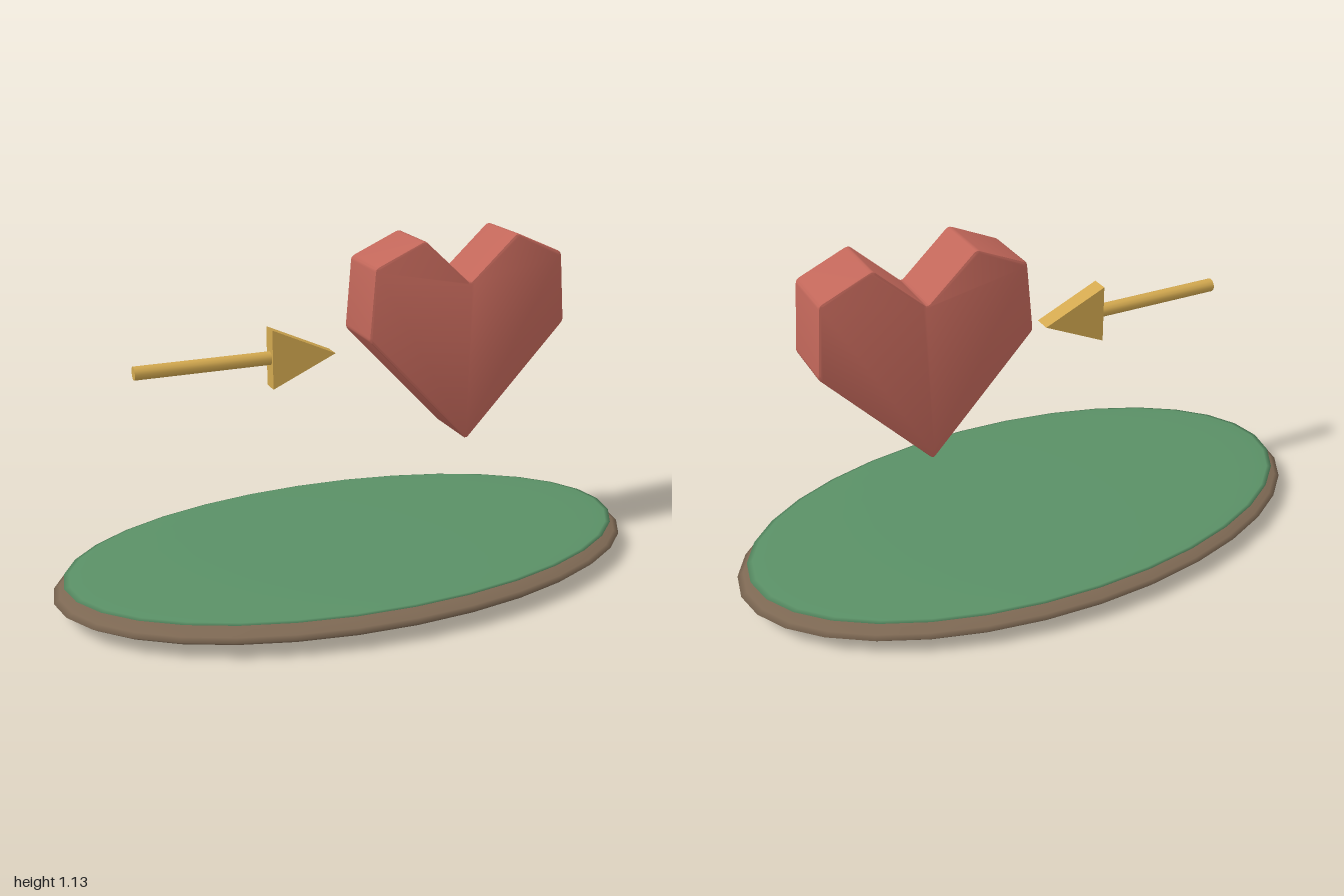
import * as THREE from 'three';
import { toCreasedNormals } from 'three/addons/utils/BufferGeometryUtils.js';

const mat = (color) => new THREE.MeshStandardMaterial({ color });

function addMesh(parent, name, geometry, material) {
  const mesh = new THREE.Mesh(geometry, material);
  mesh.name = name;
  parent.add(mesh);
  return mesh;
}

// Closed outline whose corners are slightly rounded by length r
function roundedOutline(points, r) {
  const p = points.map(([x, y]) => new THREE.Vector2(x, y));
  const shape = new THREE.Shape();
  p.forEach((c, i) => {
    const prev = p[(i + p.length - 1) % p.length];
    const next = p[(i + 1) % p.length];
    const a = prev.clone().sub(c).setLength(r).add(c);
    const b = next.clone().sub(c).setLength(r).add(c);
    if (i === 0) shape.moveTo(a.x, a.y);
    else shape.lineTo(a.x, a.y);
    shape.quadraticCurveTo(c.x, c.y, b.x, b.y);
  });
  shape.closePath();
  return shape;
}

export function createModel() {
  const model = new THREE.Group();
  model.name = 'heartAndArrow';

  // Island: two flattened spheres, soil below and grass on top
  const sphere = new THREE.SphereGeometry(1, 32, 16);
  const soil = addMesh(model, 'soilBase', sphere, mat(0x7d6853));
  soil.scale.set(1, 0.06, 0.545);
  soil.position.y = 0.06;
  const grass = addMesh(model, 'grassTop', sphere, mat(0x5a9066));
  grass.scale.set(0.965, 0.0175, 0.523);
  grass.position.y = 0.105;

  // Heart: faceted mirrored outline, thick, with softened edges
  const half = [[0.35, 0.822], [0.33, 1.055], [0.162, 1.13]];
  const outline = [
    [0, 0.45], ...half, [0, 0.98],
    ...half.map(([x, y]) => [-x, y]).reverse(),
  ];
  const bevel = 0.008;
  const depth = 0.208 - 2 * bevel;
  const heartGeo = new THREE.ExtrudeGeometry(roundedOutline(outline, 0.012), {
    depth, curveSegments: 3, bevelEnabled: true,
    bevelSize: bevel, bevelThickness: bevel, bevelOffset: -bevel, bevelSegments: 2,
  });
  heartGeo.translate(0, 0, -depth / 2);
  const heart = addMesh(model, 'heart', toCreasedNormals(heartGeo, 0.7), mat(0xc2675a));
  heart.position.x = 0.37;

  // Arrow: round shaft and flat triangular head pointing at the heart
  const arrow = new THREE.Group();
  arrow.name = 'arrow';
  arrow.position.y = 0.776;
  model.add(arrow);
  const gold = mat(0xd2a84f);

  const shaft = addMesh(arrow, 'arrowShaft', new THREE.CylinderGeometry(0.022, 0.022, 0.45, 12), gold);
  shaft.rotation.z = -Math.PI / 2;
  shaft.position.x = -0.485;

  const tri = new THREE.Shape([
    new THREE.Vector2(-0.275, -0.096),
    new THREE.Vector2(-0.065, 0),
    new THREE.Vector2(-0.275, 0.096),
  ]);
  const headGeo = new THREE.ExtrudeGeometry(tri, { depth: 0.058, bevelEnabled: false });
  headGeo.translate(0, 0, -0.029);
  addMesh(arrow, 'arrowHead', headGeo, gold);

  return model;
}
